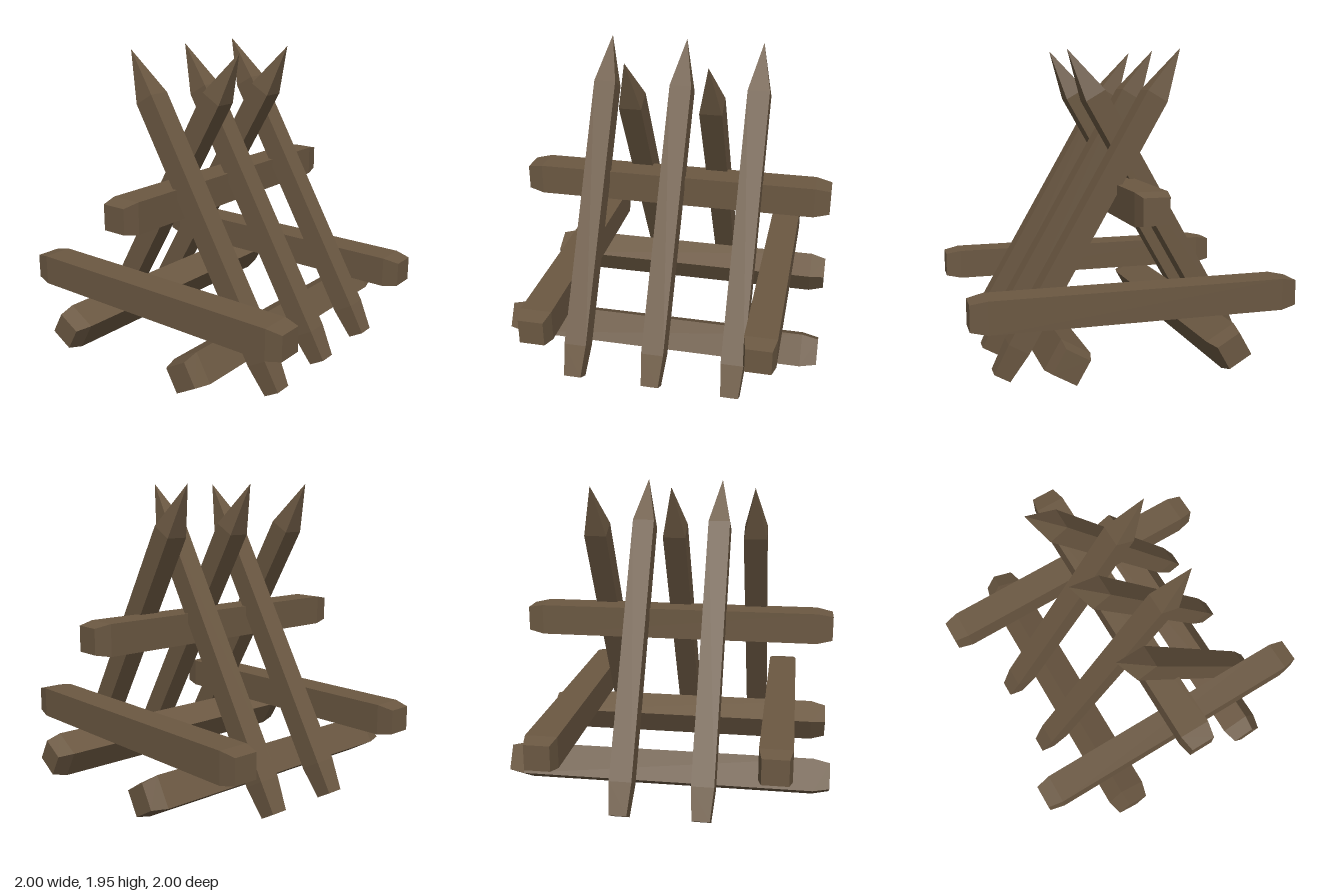
import * as THREE from 'three';

const wood = new THREE.MeshStandardMaterial({ color: 0x6b5842 });
wood.name = 'dark brown wood';

// Square timber along +y from a profile of [half width, height] pairs, with hard edges
function timber(profile) {
  const points = profile.map(([h, y]) => new THREE.Vector2(h * Math.SQRT2, y));
  const geometry = new THREE.LatheGeometry(points, 4, Math.PI / 4).toNonIndexed();
  geometry.computeVertexNormals();
  return geometry;
}

export function createModel() {
  const model = new THREE.Group();
  model.name = 'spikedBarricade';

  const lean = Math.PI / 6;

  // Beam with chamfered ends, centred on its length
  const beamGeometry = timber([
    [0, -1], [0.078, -1], [0.0975, -0.9], [0.0975, 0.9], [0.078, 1], [0, 1],
  ]);
  // Stake with a tapered foot and a sharpened tip
  const stakeGeometry = timber([
    [0, 0], [0.054, 0], [0.07, 0.2], [0.07, 1.9], [0, 2.226],
  ]);

  const add = (name, geometry, x, y, z) => {
    const mesh = new THREE.Mesh(geometry, wood);
    mesh.name = name;
    mesh.position.set(x, y, z);
    model.add(mesh);
    return mesh;
  };

  // Cross beams at front and back
  add('frontCrossBeam', beamGeometry, 0, 0.47, 0.68).rotation.z = Math.PI / 2;
  add('backCrossBeam', beamGeometry, 0, 0.47, -0.68).rotation.z = Math.PI / 2;

  // Ridge beam and the two tilted lower rails
  add('ridgeBeam', beamGeometry, 0, 1.06, 0).rotation.x = Math.PI / 2;
  for (const side of [1, -1]) {
    const rail = add(side > 0 ? 'leftRail' : 'rightRail', beamGeometry, side * 0.483, 0.225, 0);
    rail.rotation.order = 'ZYX';
    rail.rotation.set(Math.PI / 2, 0, side * lean);
  }

  // Crossed stakes, alternating in direction along the ridge
  [-0.5, -0.25, 0, 0.25, 0.5].forEach((z, i) => {
    const side = i % 2 === 0 ? 1 : -1;
    add('stake' + (i + 1), stakeGeometry, side * 0.795, 0.03, z).rotation.z = side * lean;
  });

  return model;
}
